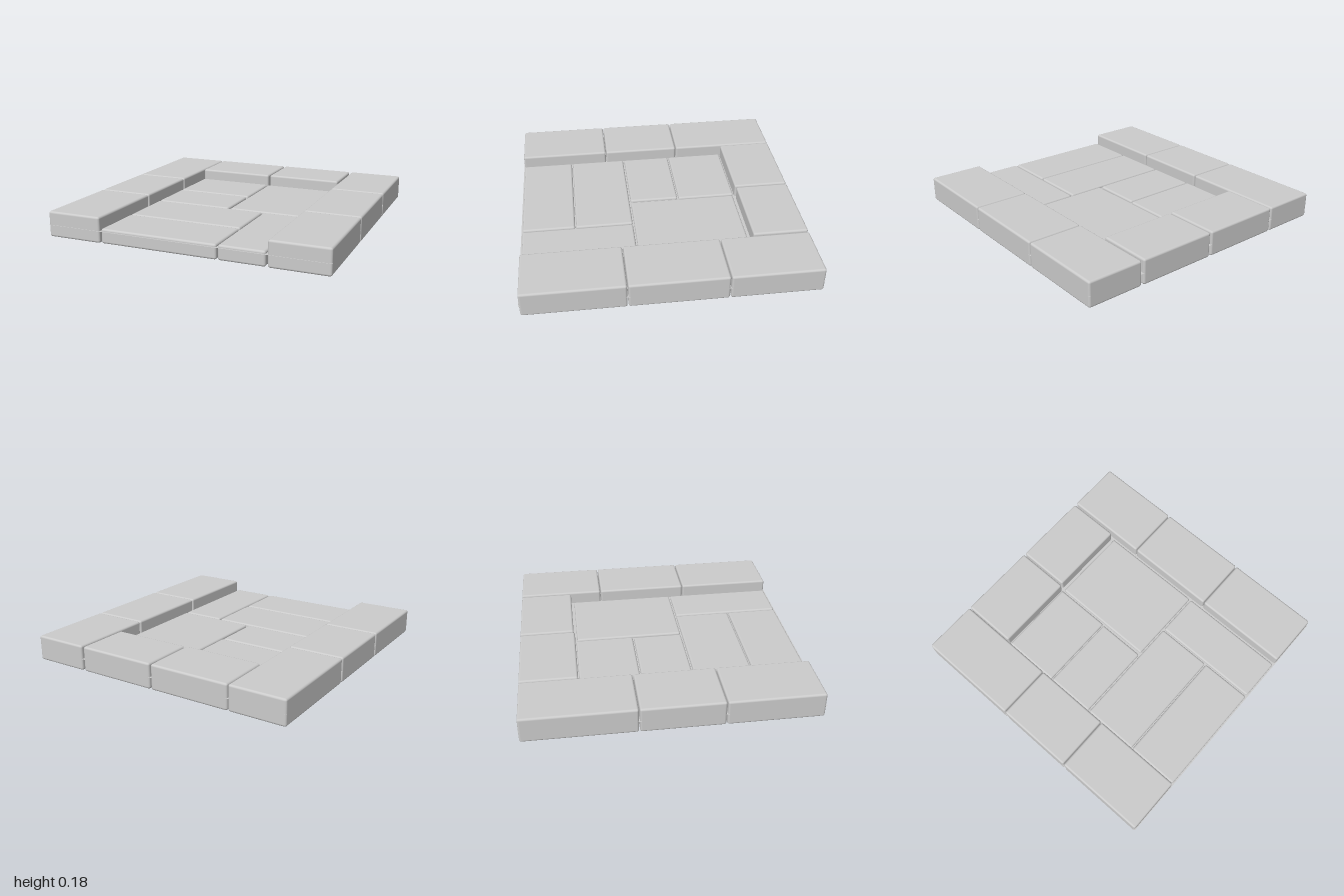
import * as THREE from 'three';
import { RoundedBoxGeometry } from 'three/addons/geometries/RoundedBoxGeometry.js';

const HIGH = 0.18, LOW = 0.103, BEVEL = 0.015;

// Each stone: x from, x to, z from, z to
const borderStones = [
  [-1, -0.598, -1, -0.238], [-1, -0.598, -0.232, 0.332], [-1, -0.598, 0.338, 0.995],
  [0.597, 1, -1, -0.373], [0.597, 1, -0.367, 0.3], [0.597, 1, 0.306, 0.995],
  [-0.592, -0.005, -1, -0.602], [0.007, 0.58, -1, -0.61],
];
const floorStones = [
  [-0.588, -0.011, -0.595, -0.174], [-0.587, -0.017, -0.166, 0.19],
  [0, 0.582, -0.588, 0.19], [-0.587, 0.253, 0.2, 0.608],
  [-0.587, 0.253, 0.616, 0.99], [0.263, 0.582, 0.2, 0.99],
];

export function createModel() {
  const group = new THREE.Group();
  const material = new THREE.MeshStandardMaterial({ color: 0xcccccc });

  function addStones(name, stones, height) {
    stones.forEach(([x0, x1, z0, z1], i) => {
      const stone = new THREE.Mesh(
        new RoundedBoxGeometry(x1 - x0, height, z1 - z0, 2, BEVEL), material);
      stone.position.set((x0 + x1) / 2, height / 2, (z0 + z1) / 2);
      stone.name = name + (i + 1);
      group.add(stone);
    });
  }

  // Raised rim on three sides, sunken paving between
  addStones('borderStone', borderStones, HIGH);
  addStones('floorStone', floorStones, LOW);

  // Thin mortar sheet that closes the joints, facing up
  const mortar = new THREE.Mesh(new THREE.PlaneGeometry(2, 2).rotateX(-Math.PI / 2), material);
  mortar.position.y = 0.085;
  mortar.name = 'mortar';
  group.add(mortar);

  return group;
}
